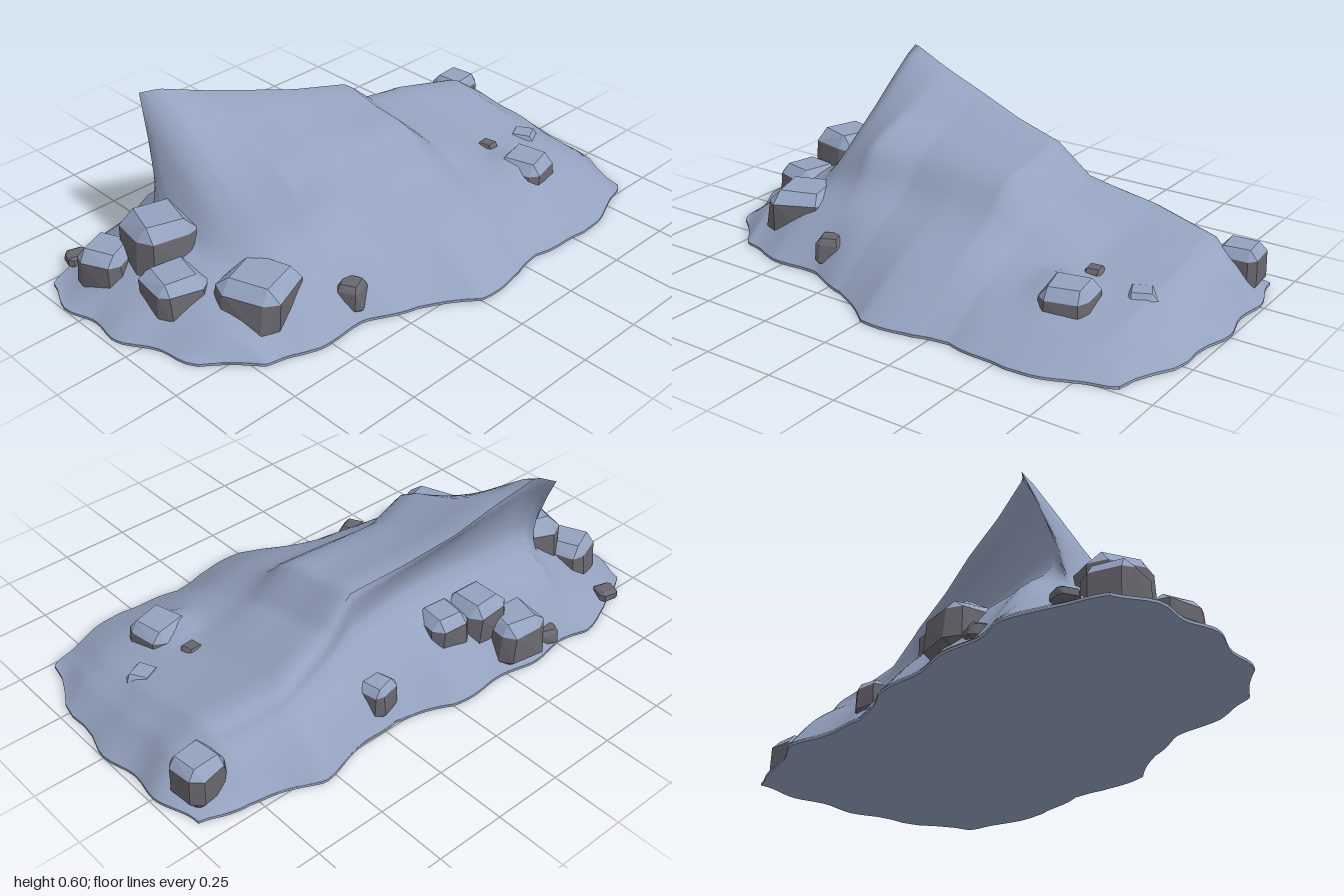
import * as THREE from 'three';
import { toCreasedNormals } from 'three/addons/utils/BufferGeometryUtils.js';
import { ConvexGeometry } from 'three/addons/geometries/ConvexGeometry.js';

const snow = new THREE.MeshStandardMaterial({ color: 0x94a2bf });
snow.name = 'snow';
const stone = new THREE.MeshStandardMaterial({ color: 0x69676f });
stone.name = 'stone';

let seed = 7;
const rand = () => (seed = (seed * 16807) % 2147483647) / 2147483647;
const { lerp } = THREE.MathUtils;
const E = 0.01; // height of the drift's rim

// Stations along the drift and the values that shape its cross-section there
const stations = [-1, -.8, -.63, -.56, -.51, -.35, -.18, 0, .2, .32, .55, .8, .9, 1];
const backZ = [-.46, -.55, -.59, -.58, -.575, -.58, -.565, -.56, -.485, -.5, -.54, -.46, -.45, -.43];
const frontZ = [.2, .33, .38, .39, .39, .4, .46, .58, .575, .54, .58, .53, .5, .47];
const footZ = [-.27, -.3, -.34, -.33, -.32, -.3, -.28, -.27, -.28, -.31, -.37, -.33, -.28, -.27];
const footY = [E, .12, .2, .3, .3, .29, .29, .28, .26, .22, .19, .15, .1, E];
const crestZ = [-.2, -.2, -.26, -.445, -.4, -.37, -.35, -.31, -.27, -.28, -.31, -.25, -.2, -.2];
const crestY = [E, .14, .22, .585, .6, .545, .49, .44, .4, .3, .24, .2, .13, E];
const shoulderZ = [-.06, 0, 0, .03, .04, .07, .02, .03, .05, .05, .05, .05, .05, 0];
const shoulderY = [E, .11, .19, .24, .28, .375, .355, .355, .35, .24, .165, .145, .09, E];

// Snow banked against one of the front boulders
const bank = (x, z) => 0.05 * Math.exp(-((x - 0.53) ** 2 + (z - 0.26) ** 2) / 0.006);

// Cross-section at t (-1 to 1), from the back rim over the crest to the front rim
function crossSection(t) {
  let k = 0;
  while (k < stations.length - 2 && t > stations[k + 1]) k++;
  const f = (t - stations[k]) / (stations[k + 1] - stations[k]);
  const at = (values) => lerp(values[k], values[k + 1], f);
  const wobble = 0.008 * Math.sin(21 * t);
  const back = at(backZ) + wobble, front = at(frontZ) + wobble;
  const fz = at(footZ), fy = at(footY), cz = at(crestZ), cy = at(crestY);
  const sz = at(shoulderZ), sy = at(shoulderY);
  const profile = [
    [back, E],
    [lerp(back, fz, 0.5), Math.max(E, fy * 0.62)], // apron behind the wall
    [fz, fy],
    [lerp(fz, cz, 0.28), lerp(fy, cy, 0.58)], // undercut
    [cz, cy],
    [lerp(cz, sz, 0.5), lerp(cy, sy, 0.5)],
    [sz, sy],
    [lerp(sz, front, 0.22), Math.max(E, sy * (1 - 0.85 * sy))],
    [lerp(sz, front, 0.6), Math.max(E, sy * (0.78 - 1.0 * sy))],
    [front, E],
  ].map(([z, y]) => new THREE.Vector3(t, y, z));
  const V = 27;
  const points = new THREE.CatmullRomCurve3(profile).getPoints(V);
  // Round the two ends in plan, with small bays along the rim
  for (const p of points) {
    const inset = t < 0
      ? 0.6 * (p.z + 0.27) ** 2 + 0.015 * (1 - Math.cos(25 * (p.z + 0.33)))
      : (p.z < 0 ? 0.2 : 0.5) * p.z ** 2 + 0.012 * (1 - Math.cos(24 * p.z));
    p.x = t * (1 - inset * t ** 4);
    p.y = Math.max(p.y + bank(p.x, p.z), E);
  }
  return points;
}

function makeDrift() {
  const group = new THREE.Group();
  group.name = 'snowDrift';
  const U = 100, rows = [];
  for (let i = 0; i <= U; i++) rows.push(crossSection(-1 + 2 * i / U));
  const V = rows[0].length - 1;
  const index = [];
  for (let i = 0; i < U; i++) for (let j = 0; j < V; j++) {
    const a = i * (V + 1) + j, c = a + V + 1;
    index.push(a, a + 1, c, a + 1, c + 1, c);
  }
  const geo = new THREE.BufferGeometry().setFromPoints(rows.flat());
  geo.setIndex(index);
  const surface = new THREE.Mesh(toCreasedNormals(geo, 0.9), snow);
  surface.name = 'driftSurface';

  // Thin base closing the underside
  const outline = [
    ...rows.map((r) => r[0]), ...rows[U].slice(1),
    ...rows.map((r) => r[V]).reverse().slice(1), ...rows[0].slice(1, -1).reverse(),
  ].map((p) => new THREE.Vector2(p.x, -p.z));
  const baseGeo = new THREE.ExtrudeGeometry(new THREE.Shape(outline), { depth: E - 0.001, bevelEnabled: false });
  baseGeo.rotateX(-Math.PI / 2);
  const base = new THREE.Mesh(baseGeo, snow);
  base.name = 'driftBase';
  group.add(surface, base);
  return group;
}

// Chamfered boulder; on the larger ones, faces that point upward carry snow
function makeRock([x, z, r, top]) {
  const height = Math.min(top - 0.012, r * 2);
  const jitter = () => 0.88 + rand() * 0.16;
  const pts = [];
  for (const sx of [-1, 1]) for (const sy of [-1, 1]) for (const sz of [-1, 1]) {
    const spread = r * (sy > 0 ? 0.94 : 1);
    for (let k = 0; k < 3; k++) {
      const c = [0.62, 0.62, 0.62];
      c[k] = 1;
      pts.push(new THREE.Vector3(
        sx * c[0] * spread * jitter(),
        sy * c[1] * height / 2 * (k === 1 ? 1 : jitter()),
        sz * c[2] * spread * jitter(),
      ));
    }
  }
  const geo = new ConvexGeometry(pts);
  const n = geo.attributes.normal;
  for (let f = 0; f < n.count; f += 3) geo.addGroup(f, 3, r > 0.05 && n.getY(f) > 0.3 ? 1 : 0);
  const rock = new THREE.Mesh(geo, [stone, snow]);
  rock.name = 'rock';
  rock.position.set(x, top - height / 2, z);
  rock.rotation.y = rand() - 0.5;
  return rock;
}

// Boulders: x, z, radius, top
const rocks = [
  [-.82, -.32, .09, .18], [-.69, -.21, .115, .29], [-.76, -.05, .1, .18], [-.59, .16, .13, .2],
  [-.34, .32, .05, .12], [-.34, -.49, .1, .18], [-.25, -.4, .09, .25], [-.11, -.38, .08, .24],
  [.22, -.42, .06, .15], [.87, -.33, .08, .17], [.58, .27, .095, .18], [.57, .1, .035, .165],
  [.75, .12, .055, .145], [-.82, -.51, .04, .05], [-.47, -.53, .045, .07],
];

export function createModel() {
  const model = new THREE.Group();
  model.name = 'snowyRockDrift';
  const boulders = new THREE.Group();
  boulders.name = 'boulders';
  rocks.forEach((r) => boulders.add(makeRock(r)));
  model.add(makeDrift(), boulders);
  return model;
}
